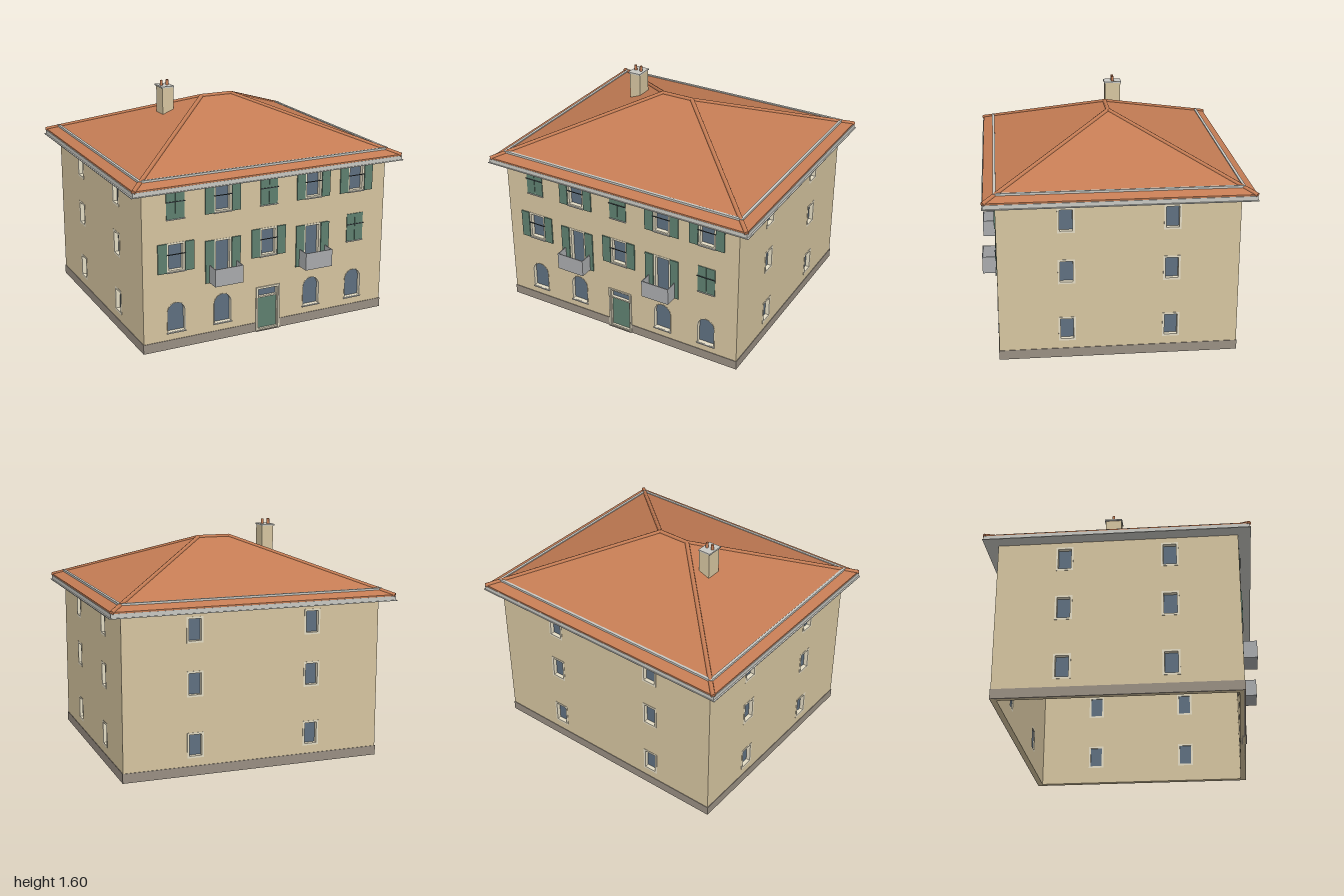
import * as THREE from 'three';

const mat = (name, color, double = false) => {
  const m = new THREE.MeshStandardMaterial({ color, side: double ? THREE.DoubleSide : THREE.FrontSide });
  m.name = name;
  return m;
};

export function createModel() {
  const M = {
    wall: mat('sand plaster', 0xd6c5a0),
    plinth: mat('plinth stone', 0x998f83),
    roof: mat('terracotta', 0xc47c54, true),
    glass: mat('window glass', 0x5f7080, true),
    shutter: mat('shutter green', 0x5f8070),
    frame: mat('cream frame', 0xe4dcc4),
    trim: mat('light grey trim', 0xc8c8c2),
    balcony: mat('balcony grey', 0xa9abad),
    iron: mat('dark iron', 0x3c4448),
  };
  const house = new THREE.Group();
  house.name = 'house';

  const add = (parent, name, geo, material, x = 0, y = 0, z = 0) => {
    const m = new THREE.Mesh(geo, material);
    m.name = name;
    m.position.set(x, y, z);
    parent.add(m);
    return m;
  };
  const box = (p, name, material, w, h, d, x, y, z) =>
    add(p, name, new THREE.BoxGeometry(w, h, d), material, x, y, z);

  // Rectangular or round-headed outline; y is the bottom edge
  const outline = (P, x, y, w, h, arch) => {
    const s = new P(), r = w / 2;
    s.moveTo(x - r, y);
    s.lineTo(x + r, y);
    if (arch) {
      s.lineTo(x + r, y + h - r);
      s.absarc(x, y + h - r, r, 0, Math.PI, false);
    } else {
      s.lineTo(x + r, y + h);
      s.lineTo(x - r, y + h);
    }
    s.closePath();
    return s;
  };
  const extrude = (shape, depth) =>
    new THREE.ExtrudeGeometry(shape, { depth, bevelEnabled: false, curveSegments: 10 });

  const T = 0.035; // wall thickness

  // Wall with openings; outer face at local z = 0
  const makeWall = (name, width, openings) => {
    const g = new THREE.Group();
    g.name = name;
    const shape = outline(THREE.Shape, 0, 0, width, 1.11);
    for (const o of openings) shape.holes.push(outline(THREE.Path, o.x, o.y, o.w, o.h, o.arch));
    add(g, name + 'Plaster', extrude(shape, T), M.wall, 0, 0, -T);
    for (const o of openings) {
      const f = o.f ?? 0.013;
      const ring = outline(THREE.Shape, o.x, o.y, o.w, o.h, o.arch);
      ring.holes.push(outline(THREE.Path, o.x, o.y + f, o.w - 2 * f, o.h - 2 * f, o.arch));
      add(g, 'windowFrame', extrude(ring, T + 0.002), M.frame, 0, 0, -T);
      const pane = outline(THREE.Shape, o.x, o.y + f / 2, o.w - f, o.h - f, o.arch);
      add(g, 'windowGlass', new THREE.ShapeGeometry(pane, 10), M.glass, 0, 0, -0.027);
    }
    house.add(g);
    return g;
  };

  // Front wall: arched ground floor, door, two shuttered floors
  const cols = [-0.674, -0.338, 0, 0.338, 0.674];
  const windows = [];
  cols.forEach((x, i) => {
    windows.push({ x, y: 0.895, w: 0.126, h: 0.196, kind: i === 0 || i === 2 ? 'closed' : 'open', rail: 1.012 });
    if (i % 2) windows.push({ x, y: 0.418, w: 0.126, h: 0.294, kind: 'french' });
    else windows.push({ x, y: 0.537, w: 0.126, h: 0.2, kind: i === 4 ? 'closed' : 'open', rail: 0.66 });
    if (i !== 2) windows.push({ x, y: 0.116, w: 0.132, h: 0.21, arch: true, kind: 'arch', f: 0.005 });
  });
  const door = { x: 0, y: 0.004, w: 0.168, h: 0.311, kind: 'door', f: 0.012 };
  const front = makeWall('frontWall', 1.81, [...windows, door]);
  front.position.z = 0.79;

  for (const o of windows) {
    const cy = o.y + o.h / 2;
    for (const s of [-1, 1]) {
      if (o.kind === 'open' || o.kind === 'french')
        box(front, 'openShutter', M.shutter, 0.063, o.h, 0.008, o.x + s * 0.096, cy, 0.005);
      if (o.kind === 'closed')
        box(front, 'closedShutter', M.shutter, 0.062, o.h, 0.008, o.x + s * 0.0325, cy, 0.001);
    }
    if (o.rail) {
      box(front, 'windowRail', M.iron, 0.136, 0.005, 0.005, o.x, o.rail, 0.009);
      box(front, 'windowSill', M.trim, 0.13, 0.006, 0.012, o.x, o.y, 0.005);
    }
    if (o.kind === 'arch') box(front, 'windowSill', M.trim, 0.136, 0.008, 0.01, o.x, o.y, 0.004);
    if (o.kind === 'french') {
      // Balcony: slab, front panel and two sides
      const b = new THREE.Group();
      b.name = 'balcony';
      b.position.set(o.x, 0, 0);
      front.add(b);
      box(b, 'balconySlab', M.balcony, 0.204, 0.012, 0.1, 0, 0.428, 0.05);
      box(b, 'balconyFront', M.balcony, 0.204, 0.118, 0.006, 0, 0.484, 0.098);
      for (const s of [-1, 1]) box(b, 'balconySide', M.balcony, 0.006, 0.118, 0.096, s * 0.099, 0.484, 0.048);
    }
  }

  // Door leaf, transom bar, surround and step
  box(front, 'doorLeaf', M.shutter, 0.146, 0.234, 0.012, 0, 0.124, -0.02);
  box(front, 'transomBar', M.frame, 0.146, 0.01, 0.02, 0, 0.243, -0.016);
  for (const s of [-1, 1]) box(front, 'doorJamb', M.frame, 0.012, 0.318, 0.012, s * 0.084, 0.159, 0.003);
  box(front, 'doorHead', M.frame, 0.18, 0.01, 0.012, 0, 0.315, 0.003);
  box(front, 'doorStep', M.plinth, 0.18, 0.006, 0.04, 0, 0.003, -0.008);

  // Side and back walls: two columns of plain windows on three floors
  const grid = (xs) => xs.flatMap((x) => [0.12, 0.532, 0.89].map((y) => ({ x, y, w: 0.114, h: 0.172, f: 0.014 })));
  const zc = -0.005;
  const leftWall = makeWall('leftWall', 1.588, grid([-0.345, 0.347]));
  leftWall.rotation.y = Math.PI / 2;
  leftWall.position.set(0.905, 0, zc);
  const rightWall = makeWall('rightWall', 1.588, grid([0.345, -0.347]));
  rightWall.rotation.y = -Math.PI / 2;
  rightWall.position.set(-0.905, 0, zc);
  const back = makeWall('backWall', 1.81, grid([-0.413, 0.413]));
  back.rotation.y = Math.PI;
  back.position.z = -0.8;

  // Plinth, broken at the door
  for (const s of [-1, 1]) {
    box(house, 'frontPlinth', M.plinth, 0.819, 0.065, 0.012, s * 0.4995, 0.0325, 0.788);
    box(house, 'sidePlinth', M.plinth, 0.012, 0.065, 1.596, s * 0.903, 0.0325, zc);
  }
  box(house, 'backPlinth', M.plinth, 1.816, 0.065, 0.012, 0, 0.0325, -0.798);

  // Eaves: soffit and fascia ring around the walls
  const rz = -0.009;
  const eaveRing = (name, hx, hz, y, h) => {
    const s = outline(THREE.Shape, 0, -hz, hx * 2, hz * 2);
    s.holes.push(outline(THREE.Path, 0, -0.785, 1.79, 1.57));
    add(house, name, extrude(s, h), M.trim, 0, y, rz).rotation.x = -Math.PI / 2;
  };
  eaveRing('fascia', 0.99, 0.876, 1.1, 0.028);
  eaveRing('gutterLip', 1.0, 0.882, 1.096, 0.005);

  // Hipped roof from eave, edge and ridge corners
  const hx = 0.985, hz = 0.874, rx = 0.115, y0 = 1.125, y1 = 1.138, y2 = 1.48;
  const corner = (i, y) => [[-hx, y, hz], [hx, y, hz], [hx, y, -hz], [-hx, y, -hz]][i % 4];
  const R = [rx, y2, 0], L = [-rx, y2, 0];
  const pos = [];
  const tri = (...p) => pos.push(...p.flat());
  const quad = (a, b, c, d) => tri(a, b, c, a, c, d);
  for (let i = 0; i < 4; i++) quad(corner(i, y0), corner(i + 1, y0), corner(i + 1, y1), corner(i, y1));
  quad(corner(0, y1), corner(1, y1), R, L);
  tri(corner(1, y1), corner(2, y1), R);
  quad(corner(2, y1), corner(3, y1), L, R);
  tri(corner(3, y1), corner(0, y1), L);
  const roofGeo = new THREE.BufferGeometry();
  roofGeo.setAttribute('position', new THREE.Float32BufferAttribute(pos, 3));
  roofGeo.computeVertexNormals();
  add(house, 'hippedRoof', roofGeo, M.roof, 0, 0, rz);

  // Ridge and hip cap tiles
  const cap = (name, a, b) => {
    const va = new THREE.Vector3(...a), vb = new THREE.Vector3(...b);
    const dir = vb.clone().sub(va);
    const c = add(house, name, new THREE.CylinderGeometry(0.015, 0.015, dir.length(), 8), M.roof);
    c.position.copy(va).add(vb).multiplyScalar(0.5);
    c.position.z += rz;
    c.position.y -= 0.004;
    c.quaternion.setFromUnitVectors(new THREE.Vector3(0, 1, 0), dir.normalize());
  };
  cap('ridgeCap', L, R);
  for (let i = 0; i < 4; i++) cap('hipCap', corner(i, y1), i === 1 || i === 2 ? R : L);

  // Snow guards just above the eaves
  for (const s of [-1, 1]) {
    box(house, 'snowGuard', M.trim, 1.84, 0.022, 0.018, 0, 1.167, rz + s * 0.798);
    box(house, 'snowGuard', M.trim, 0.018, 0.022, 1.61, s * 0.911, 1.167, rz);
  }

  // Chimney with cap slab and two pots
  box(house, 'chimneyStack', M.wall, 0.082, 0.25, 0.112, -0.36, 1.43, -0.087);
  box(house, 'chimneyCap', M.trim, 0.094, 0.01, 0.124, -0.363, 1.559, -0.087);
  for (const x of [-0.386, -0.342])
    add(house, 'chimneyPot', new THREE.CylinderGeometry(0.009, 0.011, 0.04, 12), M.roof, x, 1.58, -0.087);

  return house;
}
